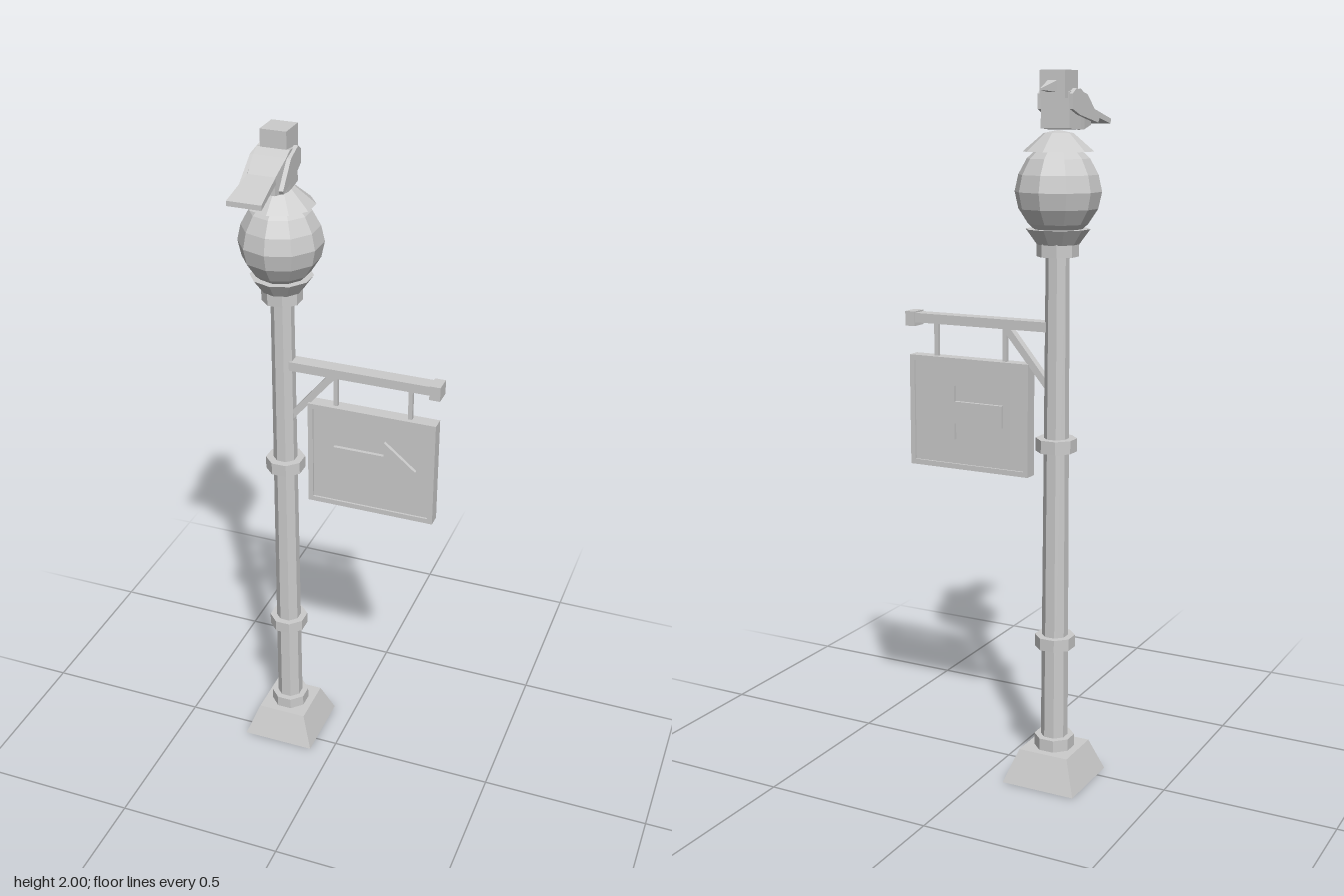
import * as THREE from 'three';

const PX = -0.179, PZ = -0.058; // axis of the post

export function createModel() {
  const model = new THREE.Group();
  const grey = new THREE.MeshStandardMaterial({ color: 0xcccccc, flatShading: true, side: THREE.DoubleSide });
  grey.name = 'light grey';

  const add = (name, geo, x = 0, y = 0, z = 0, parent = model) => {
    const mesh = new THREE.Mesh(geo, grey);
    mesh.name = name;
    mesh.position.set(x, y, z);
    parent.add(mesh);
    return mesh;
  };
  const box = (name, x0, x1, y0, y1, z0, z1, parent) =>
    add(name, new THREE.BoxGeometry(x1 - x0, y1 - y0, z1 - z0), (x0 + x1) / 2, (y0 + y1) / 2, (z0 + z1) / 2, parent);

  // Prism with flats facing the axes; radii are measured to the flats
  const prism = (name, sides, top, bottom, y0, y1) => {
    const k = 1 / Math.cos(Math.PI / sides);
    const geo = new THREE.CylinderGeometry(top * k, bottom * k, y1 - y0, sides).rotateY(Math.PI / sides);
    return add(name, geo, PX, (y0 + y1) / 2, PZ);
  };
  const lathe = (name, points) =>
    add(name, new THREE.LatheGeometry(points.map(p => new THREE.Vector2(...p)), 10), PX, 0, PZ);

  const shapeOf = points => new THREE.Shape(points.map(p => new THREE.Vector2(...p)));
  const extrude = (shape, depth) => new THREE.ExtrudeGeometry(shape, { depth, bevelEnabled: false });

  // Rectangular sections [z, bottom, top, half width] joined along z
  const loft = sections => {
    const pos = [];
    const rings = sections.map(([z, lo, hi, w]) => [[-w, lo, z], [w, lo, z], [w, hi, z], [-w, hi, z]]);
    const quad = (a, b, c, d) => pos.push(...a, ...b, ...c, ...a, ...c, ...d);
    for (let i = 0; i < rings.length - 1; i++) {
      for (let j = 0; j < 4; j++) {
        const k = (j + 1) % 4;
        quad(rings[i][j], rings[i][k], rings[i + 1][k], rings[i + 1][j]);
      }
    }
    quad(...[...rings[0]].reverse());
    quad(...rings[rings.length - 1]);
    const geo = new THREE.BufferGeometry();
    geo.setAttribute('position', new THREE.Float32BufferAttribute(pos, 3));
    geo.computeVertexNormals();
    return geo;
  };

  // Base, post and collars
  prism('base', 4, 0.075, 0.111, 0, 0.096);
  prism('post', 8, 0.03, 0.036, 0.09, 1.53);
  for (const [y0, y1] of [[0.096, 0.131], [0.4, 0.435], [0.973, 1.01], [1.512, 1.547]]) {
    prism('collar', 8, 0.053, 0.053, y0, y1);
  }

  // Lamp
  lathe('lampHolder', [[0, 1.545], [0.058, 1.545], [0.088, 1.586], [0, 1.586]]);
  lathe('lampGlobe', [[0.06, 1.58], [0.082, 1.6], [0.108, 1.64], [0.118, 1.685],
    [0.108, 1.73], [0.085, 1.772], [0.06, 1.795], [0, 1.798]]);
  lathe('lampCap', [[0, 1.79], [0.096, 1.79], [0.04, 1.838], [0, 1.846]]);

  // Bracket
  box('arm', -0.155, 0.262, 1.306, 1.333, -0.08, -0.037);
  box('armEnd', 0.259, 0.29, 1.295, 1.337, -0.083, -0.033);
  for (const x of [-0.02, 0.2]) box('hanger', x - 0.006, x + 0.006, 1.2, 1.31, -0.064, -0.052);
  const brace = extrude(shapeOf([[-0.15, 1.145], [-0.15, 1.175], [-0.04, 1.308], [-0.013, 1.308]]), 0.024);
  add('brace', brace, 0, 0, PZ - 0.012);

  // Sign: panel, raised rim and an arrow on both faces
  const rim = shapeOf([[-0.1, 0.89], [0.28, 0.89], [0.28, 1.212], [-0.1, 1.212]]);
  rim.holes.push(new THREE.Path([[-0.085, 0.905], [-0.085, 1.197], [0.265, 1.197], [0.265, 0.905]]
    .map(p => new THREE.Vector2(...p))));
  add('signRim', extrude(rim, 0.04), 0, 0, PZ - 0.02);
  box('signPanel', -0.09, 0.27, 0.9, 1.202, PZ - 0.014, PZ + 0.014);
  const arrow = shapeOf([[-0.02, 1.024], [0.132, 1.024], [0.132, 0.977], [0.226, 1.055],
    [0.132, 1.132], [0.132, 1.088], [-0.02, 1.088]]);
  add('signArrow', extrude(arrow, 0.05), 0, 0, PZ - 0.025);

  // Bird perched on the cap, beak towards the back
  const bird = new THREE.Group();
  bird.name = 'bird';
  bird.position.x = PX;
  model.add(bird);
  add('body', loft([[-0.08, 1.85, 1.945, 0.042], [-0.02, 1.846, 1.953, 0.046], [0.005, 1.847, 1.94, 0.046],
    [0.065, 1.858, 1.903, 0.038]]), 0, 0, 0, bird);
  add('tail', loft([[0.06, 1.887, 1.906, 0.039], [0.175, 1.86, 1.874, 0.048]]), 0, 0, 0, bird);
  box('head', -0.037, 0.037, 1.928, 2, -0.098, -0.019, bird);
  add('beak', loft([[-0.163, 1.948, 1.953, 0.002], [-0.096, 1.943, 1.974, 0.014]]), 0, 0, 0, bird);
  const wing = shapeOf([[-0.08, 1.9], [-0.04, 1.885], [0.062, 1.864], [0.068, 1.874],
    [0, 1.938], [-0.06, 1.953], [-0.08, 1.94]]);
  for (const side of [-1, 1]) {
    const geo = extrude(wing, 0.012).translate(0, 0, -0.006).rotateY(-Math.PI / 2);
    add('wing', geo, side * 0.051, 0, 0, bird).rotation.y = side * 0.07;
  }

  return model;
}
